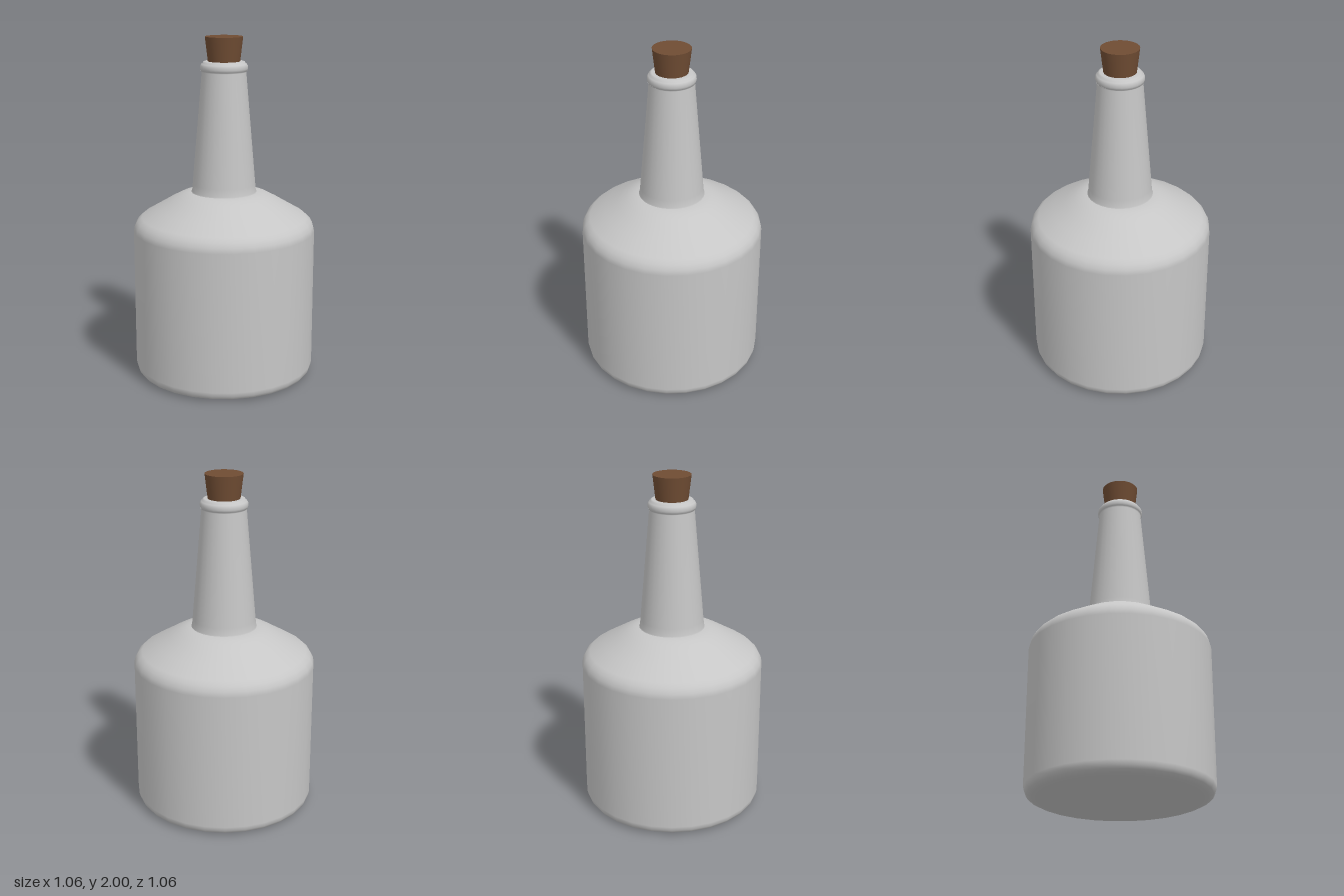
import * as THREE from 'three';

const SEGMENTS = 28;

// Smooth turned surface from [radius, height] pairs, listed bottom to top
function turned(name, profile, material) {
  const points = profile.map(([r, y]) => new THREE.Vector2(r, y));
  const mesh = new THREE.Mesh(new THREE.LatheGeometry(points, SEGMENTS), material);
  mesh.name = name;
  return mesh;
}

export function createModel() {
  const glass = new THREE.MeshStandardMaterial({ color: 0xc6c6c6, side: THREE.DoubleSide });
  glass.name = 'pale grey glass';
  const corkBrown = new THREE.MeshStandardMaterial({ color: 0x6f4c33 });
  corkBrown.name = 'cork brown';

  const model = new THREE.Group();
  model.name = 'corkedBottle';

  // Wide body: flat base, rounded foot, straight wall and sloping shoulder
  model.add(turned('body', [
    [0, 0], [0.465, 0], [0.49, 0.004], [0.515, 0.016], [0.527, 0.035], [0.532, 0.06],
    [0.532, 0.875], [0.526, 0.905], [0.51, 0.932], [0.485, 0.955],
    [0.4, 1.005], [0.32, 1.053], [0.27, 1.08], [0.235, 1.094], [0.205, 1.102], [0.18, 1.104],
  ], glass));

  // Tapered neck
  model.add(turned('neck', [
    [0.196, 1.098], [0.188, 1.108], [0.184, 1.15], [0.128, 1.8], [0.134, 1.808],
  ], glass));

  // Rounded lip around the mouth
  model.add(turned('lip', [
    [0.126, 1.804], [0.133, 1.808], [0.137, 1.82], [0.136, 1.836],
    [0.13, 1.846], [0.122, 1.851], [0.12, 1.858], [0.112, 1.861], [0.09, 1.861],
  ], glass));

  // Tapered cork stopper, partly inside the mouth
  const cork = new THREE.Mesh(new THREE.CylinderGeometry(0.109, 0.09, 0.16, SEGMENTS), corkBrown);
  cork.name = 'cork';
  cork.position.y = 1.92;
  model.add(cork);

  return model;
}
